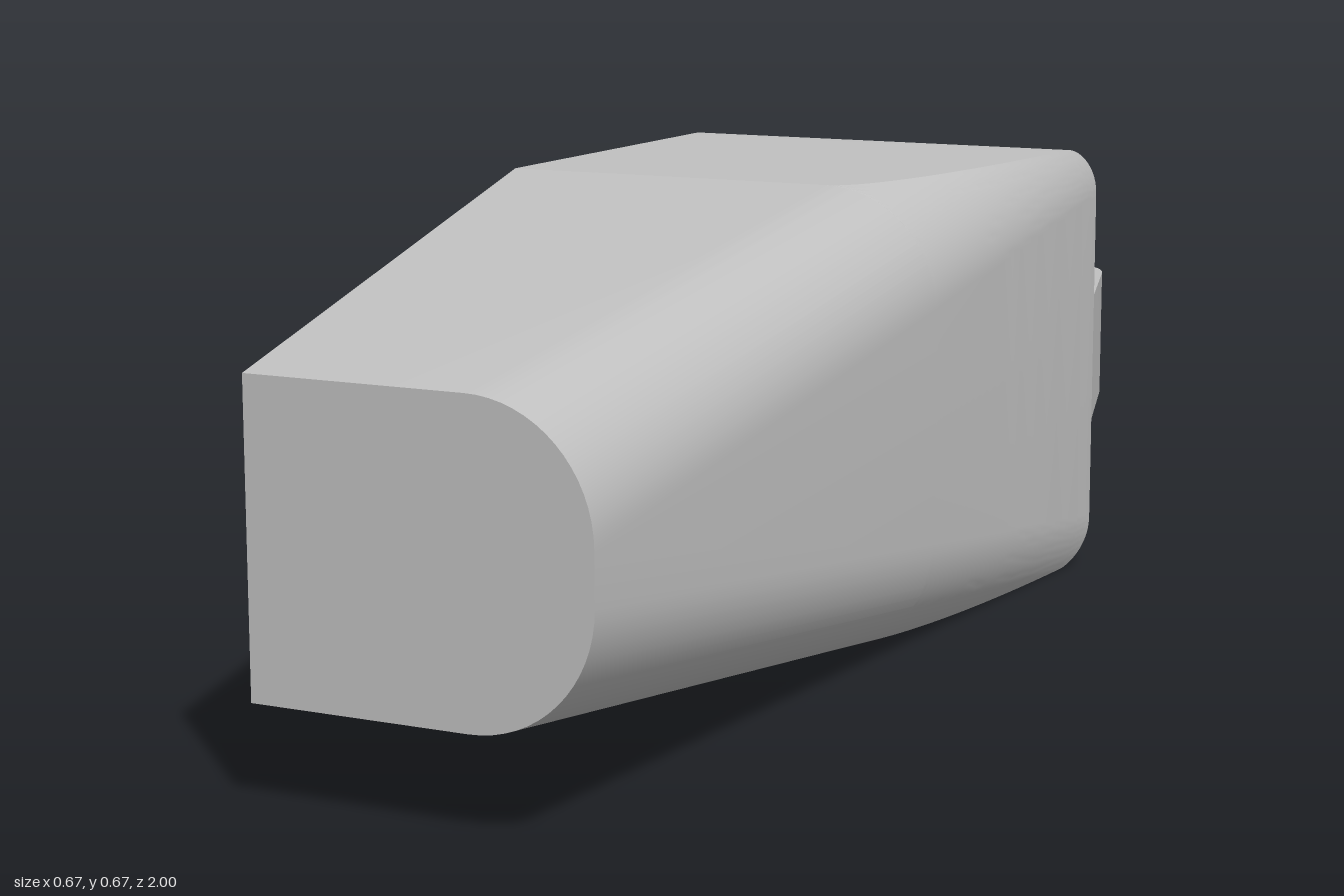
import * as THREE from 'three';
import { toCreasedNormals } from 'three/addons/utils/BufferGeometryUtils.js';

const HALF = 1 / 3;      // half width and half height of the body
const BACK = -2 / 3;     // z of the back face
const EDGE = 1 / 15;     // rounding of the back edges
const R = 1 / 6;         // rounding along the +x side
const ARC = 16;

// Cross-section at z, counterclockwise as seen from the front
function section(z) {
  const taper = Math.max(0, z);
  const dz = Math.max(0, BACK + EDGE - z);
  const inset = EDGE - Math.sqrt(Math.max(0, EDGE * EDGE - dz * dz));
  const left = -HALF + 0.2 * taper + inset;
  const h = HALF - 0.1333 * taper - inset;
  // the side rounding runs on straight and is cut off by the flat top and bottom
  const c = R - 0.1333 * z;
  const end = Math.asin(Math.min(1, (h - c) / R));
  const points = [[left, -h]];
  for (const s of [-1, 1]) {
    for (let i = 0; i <= ARC; i++) {
      const a = end * (s < 0 ? 1 - i / ARC : i / ARC);
      points.push([HALF - R + R * Math.cos(a), s * (c + R * Math.sin(a))]);
    }
  }
  points.push([left, h]);
  return points.map(([x, y]) => [x, y + HALF, z]);
}

function bodyGeometry() {
  const zs = [];
  for (let i = 0; i < 16; i++) zs.push(BACK + EDGE * (1 - Math.cos((i / 16) * Math.PI / 2)));
  for (let i = 0; i <= 24; i++) zs.push((BACK + EDGE) * (1 - i / 24) ** 2);
  zs.push(1);
  const rings = zs.map(section);
  const n = rings[0].length;
  const pos = [];
  const tri = (...corners) => corners.forEach((p) => pos.push(...p));

  // skin between neighbouring sections
  for (let i = 0; i < rings.length - 1; i++) {
    for (let j = 0; j < n; j++) {
      const k = (j + 1) % n;
      const a = rings[i], b = rings[i + 1];
      tri(a[j], a[k], b[k]);
      tri(a[j], b[k], b[j]);
    }
  }
  // end caps
  const back = rings[0], front = rings[rings.length - 1];
  for (let j = 1; j < n - 1; j++) {
    tri(front[0], front[j], front[j + 1]);
    tri(back[0], back[j + 1], back[j]);
  }
  const g = new THREE.BufferGeometry();
  g.setAttribute('position', new THREE.Float32BufferAttribute(pos, 3));
  return toCreasedNormals(g, 0.12);
}

// Flat lug with a round hole, drawn in x and -z
function lugGeometry() {
  const s = new THREE.Shape();
  s.moveTo(-HALF, 0.6);
  s.lineTo(0.3, 0.6);
  s.lineTo(HALF, -BACK);
  s.lineTo(0.265, 0.9);
  s.quadraticCurveTo(0.236, 1, 0.13, 1);
  s.lineTo(0.04, 1);
  s.quadraticCurveTo(-0.035, 1, -0.09, 0.939);
  s.lineTo(-HALF, -BACK);
  s.closePath();
  s.holes.push(new THREE.Path().absarc(0.1, 0.858, 0.1, 0, Math.PI * 2, true));
  const g = new THREE.ExtrudeGeometry(s, { depth: 0.2, bevelEnabled: false, curveSegments: 24 });
  g.rotateX(-Math.PI / 2);
  g.translate(0, HALF - 0.1, 0);
  return toCreasedNormals(g, 0.4);
}

export function createModel() {
  const grey = new THREE.MeshStandardMaterial({ color: 0xc0c0c0 });
  grey.name = 'plain grey';
  const group = new THREE.Group();
  group.name = 'taperedBlockWithLug';
  const add = (name, geometry) => {
    const mesh = new THREE.Mesh(geometry, grey);
    mesh.name = name;
    group.add(mesh);
  };
  add('body', bodyGeometry());
  add('lug', lugGeometry());
  return group;
}
